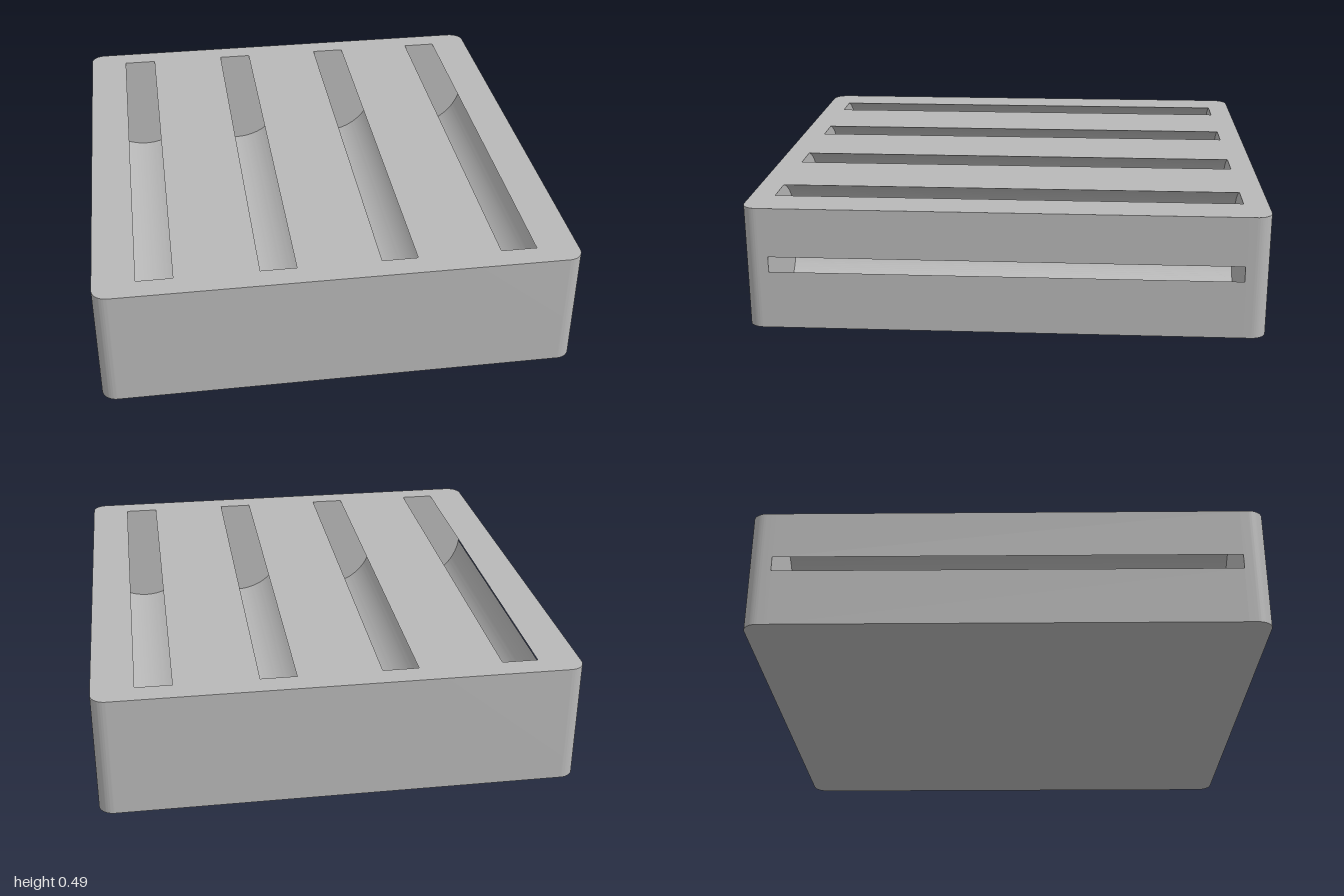
import * as THREE from 'three';
import { toCreasedNormals } from 'three/addons/utils/BufferGeometryUtils.js';

// Block size, and four round bores that break through the top and the sides
const W = 0.935, H = 0.485, D = 1, CORNER = 0.06;
const BORE_END = 0.905, BORE_Y = 0.26, COUNT = 4;
const CELL = W / COUNT;               // half the spacing of the bores
const GAP = 0.03;                     // half height of the side slots
const R = Math.hypot(CELL, GAP);
const SIDE = Math.asin(GAP / R);      // angle where a bore meets its neighbour
const TOP = Math.asin((H - BORE_Y) / R); // angle where a bore meets the top
const boreX = (i) => -W + CELL * (2 * i + 1);

export function createModel() {
  const group = new THREE.Group();
  const grey = new THREE.MeshStandardMaterial({ color: 0xb8b8b8 });
  grey.name = 'grey';

  function add(name, geometry) {
    const mesh = new THREE.Mesh(toCreasedNormals(geometry, 0.5), grey);
    mesh.name = name;
    group.add(mesh);
    return mesh;
  }

  function addAlongBores(name, shape) {
    const geometry = new THREE.ExtrudeGeometry(shape, {
      depth: 2 * BORE_END, bevelEnabled: false, curveSegments: 40,
    });
    add(name, geometry.translate(0, 0, -BORE_END));
  }

  // Base with four rounded troughs
  const base = new THREE.Shape();
  base.moveTo(-W, 0);
  base.lineTo(W, 0);
  base.lineTo(W, BORE_Y - GAP);
  for (let i = COUNT - 1; i >= 0; i--) {
    base.absarc(boreX(i), BORE_Y, R, -SIDE, SIDE - Math.PI, true);
  }
  addAlongBores('troughBase', base);

  // Top bars between the slots, with hollow flanks
  for (let i = 0; i <= COUNT; i++) {
    const x = -W + 2 * CELL * i;
    const bar = new THREE.Shape();
    bar.moveTo(x, BORE_Y + GAP);
    if (i < COUNT) bar.absarc(x + CELL, BORE_Y, R, Math.PI - SIDE, Math.PI - TOP, true);
    else bar.lineTo(x, H);
    if (i > 0) bar.absarc(x - CELL, BORE_Y, R, TOP, SIDE, true);
    else bar.lineTo(x, H);
    addAlongBores('topBar', bar);
  }

  // Solid end walls with rounded outer corners
  const wall = new THREE.Shape();
  wall.moveTo(W, -BORE_END);
  wall.lineTo(-W, -BORE_END);
  wall.absarc(-W + CORNER, -D + CORNER, CORNER, Math.PI, Math.PI * 1.5, false);
  wall.absarc(W - CORNER, -D + CORNER, CORNER, Math.PI * 1.5, Math.PI * 2, false);
  for (const [name, turn] of [['frontWall', 0], ['backWall', Math.PI]]) {
    const geometry = new THREE.ExtrudeGeometry(wall, {
      depth: H, bevelEnabled: false, curveSegments: 16,
    });
    add(name, geometry.rotateX(-Math.PI / 2).rotateY(turn));
  }
  return group;
}
